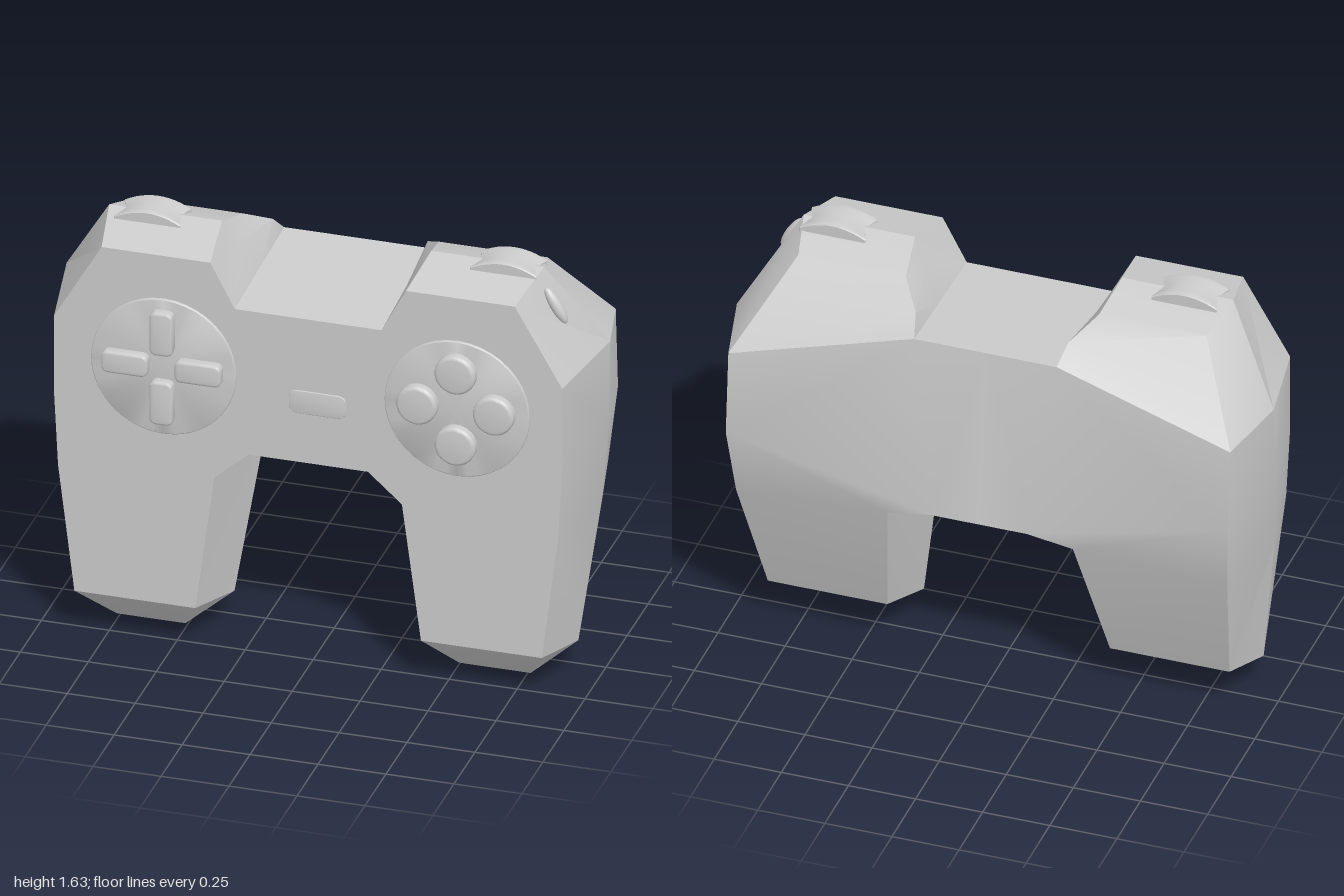
import * as THREE from 'three';
import { toCreasedNormals } from 'three/addons/utils/BufferGeometryUtils.js';

const material = new THREE.MeshStandardMaterial({ color: 0xcccccc });

function addMesh(parent, name, geometry, x = 0, y = 0, z = 0) {
  const mesh = new THREE.Mesh(geometry, material);
  mesh.name = name;
  mesh.position.set(x, y, z);
  parent.add(mesh);
  return mesh;
}

// Half outlines, clockwise from top centre to bottom centre
const front = [
  [0, 1.38, .31], [.27, 1.38, .31], [.315, 1.465, .31], [.36, 1.55, .31], [.76, 1.55, .31],
  [.935, 1.25, .31], [.935, .95, .31], [.92, .66, .31], [.86, .17, .31],
  [.74, .045, .2], [.52, .045, .2],
  [.415, .17, .31], [.345, .7, .31], [.22, .81, .31], [0, .81, .31],
];
const middle = [
  [0, 1.402, 0], [.267, 1.402, 0], [.335, 1.51, .05], [.385, 1.603, .09], [.8, 1.603, .09],
  [1, 1.27, -.05], [1, .95, -.03], [.985, .66, 0], [.92, .13, .07],
  [.76, 0, .12], [.51, 0, .12],
  [.345, .13, .07], [.26, .7, 0], [.195, .775, 0], [0, .775, 0],
];
const back = [
  [0, 1.42, -.26], [.265, 1.42, -.26], [.285, 1.485, -.19], [.36, 1.55, -.08], [.76, 1.55, -.08],
  [.935, 1.25, -.325], [.935, .93, -.352], [.915, .66, -.3], [.86, .17, -.12],
  [.76, 0, .12], [.51, 0, .12],
  [.415, .17, -.12], [.345, .7, -.315], [.18, .74, -.335], [0, .74, -.335],
];
// Faces that close the front and back outlines
const capFaces = [
  [2, 3, 4, 5], [1, 2, 5], [1, 5, 6], [1, 6, 13], [0, 1, 13, 14],
  [6, 7, 12, 13], [7, 8, 11, 12], [8, 9, 10, 11],
];

function bodyGeometry() {
  const positions = [];
  const flip = ([x, y, z]) => [-x, y, z];
  const area = new THREE.Triangle();
  const triangle = (a, b, c) => {
    area.set(new THREE.Vector3(...a), new THREE.Vector3(...b), new THREE.Vector3(...c));
    if (area.getArea() < 1e-7) return;
    positions.push(...a, ...b, ...c, ...flip(a), ...flip(c), ...flip(b));
  };
  const polygon = (p) => {
    for (let i = 1; i < p.length - 1; i++) triangle(p[0], p[i], p[i + 1]);
  };
  for (const [near, far] of [[front, middle], [middle, back]]) {
    for (let i = 0; i < near.length - 1; i++) {
      polygon([near[i], near[i + 1], far[i + 1], far[i]]);
    }
  }
  for (const face of capFaces) {
    polygon(face.map((i) => front[i]).reverse());
    polygon(face.map((i) => back[i]));
  }
  const geometry = new THREE.BufferGeometry();
  geometry.setAttribute('position', new THREE.Float32BufferAttribute(positions, 3));
  return toCreasedNormals(geometry, 0.5);
}

// Raised pad with rounded corners and a soft front edge
function padGeometry(w, h, r, depth, bevel) {
  const x = w / 2 - bevel, y = h / 2 - bevel;
  const s = new THREE.Shape();
  s.moveTo(-x + r, -y);
  s.lineTo(x - r, -y).quadraticCurveTo(x, -y, x, -y + r);
  s.lineTo(x, y - r).quadraticCurveTo(x, y, x - r, y);
  s.lineTo(-x + r, y).quadraticCurveTo(-x, y, -x, y - r);
  s.lineTo(-x, -y + r).quadraticCurveTo(-x, -y, -x + r, -y);
  const g = new THREE.ExtrudeGeometry(s, {
    depth: depth - bevel, bevelSize: bevel, bevelThickness: bevel, bevelSegments: 3, curveSegments: 5,
  });
  return toCreasedNormals(g, 0.6);
}

// Turned disc facing +z with a rounded rim
function discGeometry(radius, depth, bevel) {
  const points = [new THREE.Vector2(radius, 0)];
  for (let i = 0; i <= 4; i++) {
    const a = (i / 4) * Math.PI / 2;
    points.push(new THREE.Vector2(radius - bevel + bevel * Math.cos(a), depth - bevel + bevel * Math.sin(a)));
  }
  points.push(new THREE.Vector2(0, depth));
  const g = new THREE.LatheGeometry(points, 40);
  g.rotateX(Math.PI / 2);
  return toCreasedNormals(g, 0.6);
}

// Domed trigger, waisted at both ends
function triggerGeometry() {
  const s = new THREE.Shape();
  s.moveTo(-.12, -.03);
  s.lineTo(.12, -.03).lineTo(.12, 0).quadraticCurveTo(0, .065, -.12, 0);
  const g = new THREE.ExtrudeGeometry(s, {
    depth: .115, steps: 8, curveSegments: 12, bevelSize: .006, bevelThickness: .01, bevelSegments: 2,
  });
  g.translate(0, 0, -.0575);
  const p = g.attributes.position;
  for (let i = 0; i < p.count; i++) {
    const t = Math.min(1, Math.abs(p.getZ(i)) / .0675);
    p.setX(i, p.getX(i) * (.84 + .16 * t * t));
  }
  return toCreasedNormals(g, 0.6);
}

export function createModel() {
  const model = new THREE.Group();
  model.name = 'gameController';
  addMesh(model, 'body', bodyGeometry());

  // Directional pad
  const dPad = new THREE.Group();
  dPad.name = 'directionPad';
  dPad.position.set(-.53, 1.115, .305);
  addMesh(dPad, 'directionPadBase', discGeometry(.267, .015, .005));
  for (const [x, y] of [[0, 1], [0, -1], [1, 0], [-1, 0]]) {
    const g = x ? padGeometry(.17, .085, .015, .05, .01) : padGeometry(.085, .17, .015, .05, .01);
    addMesh(dPad, 'directionButton', g, x * .135, y * .137 + .005);
  }
  model.add(dPad);

  // Round action buttons
  const actions = new THREE.Group();
  actions.name = 'actionButtons';
  actions.position.set(.55, 1.115, .305);
  addMesh(actions, 'actionButtonBase', discGeometry(.267, .015, .005));
  for (let i = 0; i < 4; i++) {
    const a = i * Math.PI / 2;
    addMesh(actions, 'actionButton', discGeometry(.075, .05, .014), .141 * Math.cos(a), .141 * Math.sin(a) + .005);
  }
  model.add(actions);

  // Centre plate
  addMesh(model, 'centrePlate', padGeometry(.21, .09, .03, .008, .002), .035, 1.05, .307);

  // Shoulder triggers
  for (const x of [-.64, .67]) addMesh(model, 'shoulderTrigger', triggerGeometry(), x, 1.593, .09);

  // Small side switch
  const sideSwitch = addMesh(model, 'sideSwitch', new THREE.SphereGeometry(1, 20, 14), .86, 1.485, .14);
  sideSwitch.scale.set(.022, .075, .022);
  sideSwitch.rotation.z = .54;
  return model;
}
